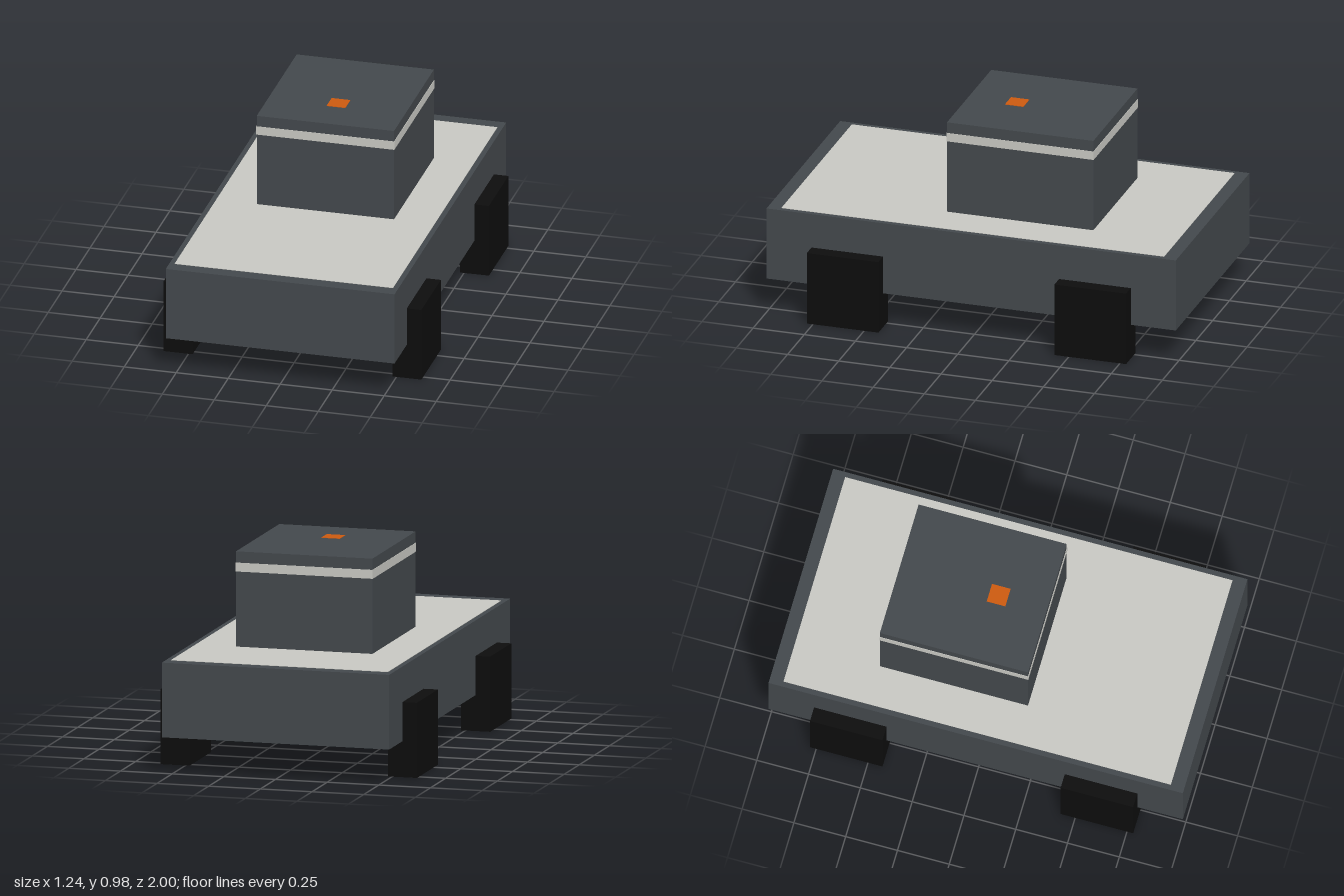
import * as THREE from 'three';

const material = (name, color) => {
  const m = new THREE.MeshStandardMaterial({ color });
  m.name = name;
  return m;
};

export function createModel() {
  const car = new THREE.Group();
  car.name = 'blockCar';

  const slate = material('slate grey', 0x43484c);
  const pale = material('pale grey', 0xc8c8c2);
  const rubber = material('black rubber', 0x0d0d0d);
  const orange = material('orange', 0xcc5a10);

  // Box given by its lower and upper limits on each axis
  const box = (name, mat, [x0, x1], [y0, y1], [z0, z1]) => {
    const mesh = new THREE.Mesh(new THREE.BoxGeometry(x1 - x0, y1 - y0, z1 - z0), mat);
    mesh.name = name;
    mesh.position.set((x0 + x1) / 2, (y0 + y1) / 2, (z0 + z1) / 2);
    car.add(mesh);
  };

  const floor = 0.17, deck = 0.523, roof = 0.975, skin = 0.002;

  // Lower body with pale panels on its deck and underside
  box('body', slate, [-0.55, 0.55], [floor, deck], [-1, 1]);
  box('deckPanel', pale, [-0.525, 0.525], [deck - skin, deck + skin], [-0.935, 0.935]);
  box('undersidePanel', pale, [-0.525, 0.525], [floor - skin, floor + skin], [-0.935, 0.935]);

  // Cabin with a pale band all round and an orange roof light
  box('cabin', slate, [-0.33, 0.33], [deck, roof], [-0.525, 0.19]);
  box('cabinBand', pale, [-0.33 - skin, 0.33 + skin], [0.88, 0.922], [-0.525 - skin, 0.19 + skin]);
  box('roofLight', orange, [-0.045, 0.045], [roof - skin, roof + skin], [-0.09, 0]);

  // Four square wheels
  for (const [side, x] of [['left', 0.55], ['right', -0.55]]) {
    for (const [end, z] of [['Front', 0.605], ['Rear', -0.605]]) {
      box(`${side}${end}Wheel`, rubber, [x - 0.07, x + 0.07], [0, 0.355], [z - 0.175, z + 0.175]);
    }
  }

  return car;
}
